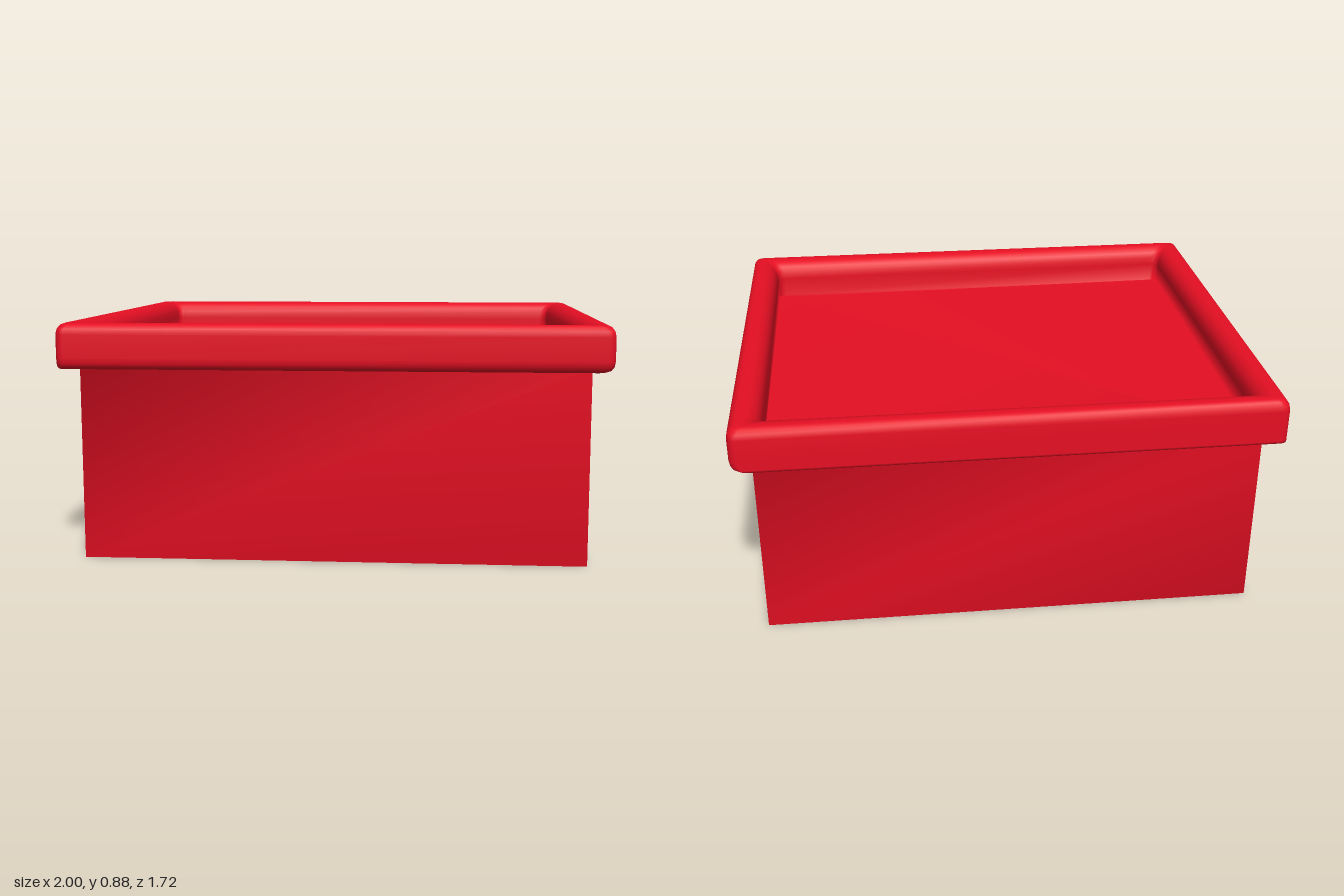
import * as THREE from 'three';

const material = new THREE.MeshStandardMaterial({ color: 0xe60f23, side: THREE.DoubleSide });

// Joins equal-length rings of points into a skin; optionally closes the last ring.
function loft(name, rings, cap) {
  const n = rings[0].length;
  const index = [];
  for (let r = 0; r < rings.length - 1; r++) {
    for (let j = 0; j < n; j++) {
      const a = r * n + j, b = r * n + (j + 1) % n;
      index.push(a, a + n, b, b, a + n, b + n);
    }
  }
  if (cap) {
    const s = (rings.length - 1) * n;
    for (let j = 1; j < n - 1; j++) index.push(s, s + j + 1, s + j);
  }
  const geometry = new THREE.BufferGeometry();
  geometry.setAttribute('position', new THREE.Float32BufferAttribute(rings.flat(2), 3));
  geometry.setIndex(index);
  geometry.computeVertexNormals();
  const mesh = new THREE.Mesh(geometry, material);
  mesh.name = name;
  return mesh;
}

const corners = [[1, 1], [-1, 1], [-1, -1], [1, -1]];

// Rounded rectangle at height y, moved inward by a separate amount on the
// rounded (+x, +z) and the square-bottomed (-x, -z) sides.
function rimRing([inset, y, squareInset = inset]) {
  const radius = 0.03, steps = 4, ring = [];
  corners.forEach(([sx, sz], c) => {
    const cx = sx * (1 - radius - (sx > 0 ? inset : squareInset));
    const cz = sz * (0.86 - radius - (sz > 0 ? inset : squareInset));
    for (let i = 0; i <= steps; i++) {
      const t = (c + i / steps) * Math.PI / 2;
      ring.push([cx + radius * Math.cos(t), y, cz + radius * Math.sin(t)]);
    }
  });
  return ring;
}

export function createModel() {
  const model = new THREE.Group();
  model.name = 'squareTray';

  // Thin skirt, open underneath
  const skirtRing = y => corners.map(([sx, sz]) => [sx * 0.925, y, sz * 0.795]);
  model.add(loft('skirt', [skirtRing(0), skirtRing(0.72)], false));

  // Rolled rim from the underside, over the crest, down to the tray floor
  const profile = [
    [0.11, 0.71], [0.03, 0.708, 0], [0.012, 0.716, 0], [0.003, 0.73, 0], [0, 0.75],
    [0, 0.835], [0.004, 0.855], [0.014, 0.869], [0.03, 0.875], [0.055, 0.875],
    [0.078, 0.868], [0.096, 0.852], [0.107, 0.83], [0.11, 0.8], [0.11, 0.722],
  ];
  model.add(loft('rimAndFloor', profile.map(rimRing), true));

  return model;
}
